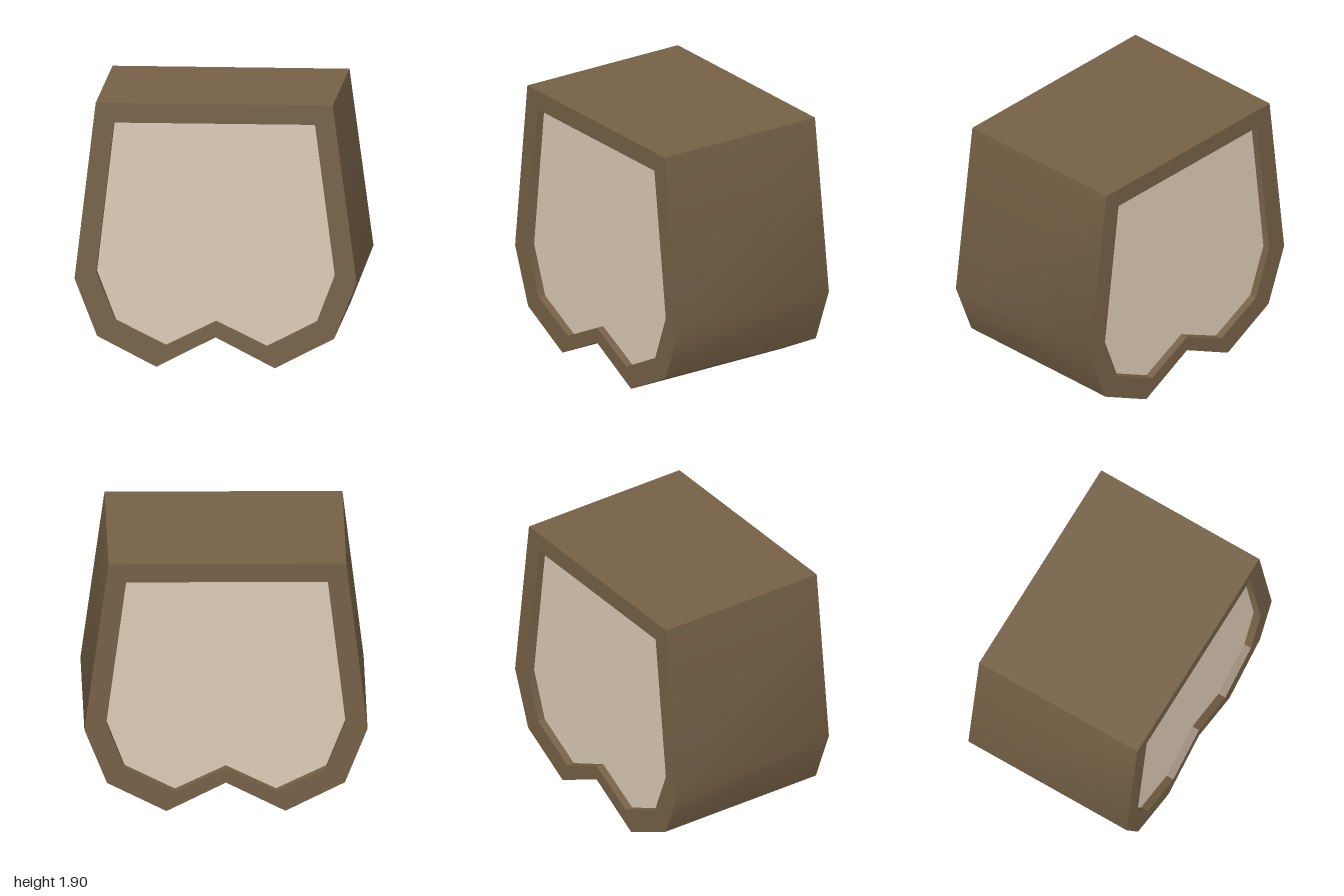
import * as THREE from 'three';
import { toCreasedNormals } from 'three/addons/utils/BufferGeometryUtils.js';

const DEPTH = 1.3;
const RECESS = 0.055;

// Block outline and the smaller outline of the recessed faces
const OUTER = [[-0.85, 1.9], [-1, 0.63], [-0.84, 0.22], [-0.42, 0.005], [0, 0.225],
  [0.42, 0.01], [0.84, 0.23], [1, 0.64], [0.83, 1.91]];
const INNER = [[-0.72, 1.76], [-0.845, 0.68], [-0.71, 0.33], [-0.355, 0.155], [0, 0.335],
  [0.36, 0.16], [0.715, 0.345], [0.845, 0.69], [0.705, 1.77]];

const points = (list) => list.map(([x, y]) => new THREE.Vector2(x, y));

// Prism centred on z = 0, with gentle edges shaded smoothly and the rest sharp
function prism(name, shape, depth, color) {
  const geometry = new THREE.ExtrudeGeometry(shape, { depth, bevelEnabled: false });
  geometry.translate(0, 0, -depth / 2);
  const mesh = new THREE.Mesh(
    toCreasedNormals(geometry, THREE.MathUtils.degToRad(35)),
    new THREE.MeshStandardMaterial({ color }),
  );
  mesh.name = name;
  return mesh;
}

export function createModel() {
  const model = new THREE.Group();
  model.name = 'notchedBlock';

  // Brown shell with an opening through it
  const shell = new THREE.Shape(points(OUTER));
  shell.holes.push(new THREE.Path(points(INNER)));
  model.add(prism('shell', shell, DEPTH, 0x756045));

  // Pale core, set back from the rim at both front and back
  const core = new THREE.Shape(points(INNER));
  model.add(prism('recessedPanels', core, DEPTH - 2 * RECESS, 0xdccab4));

  return model;
}
